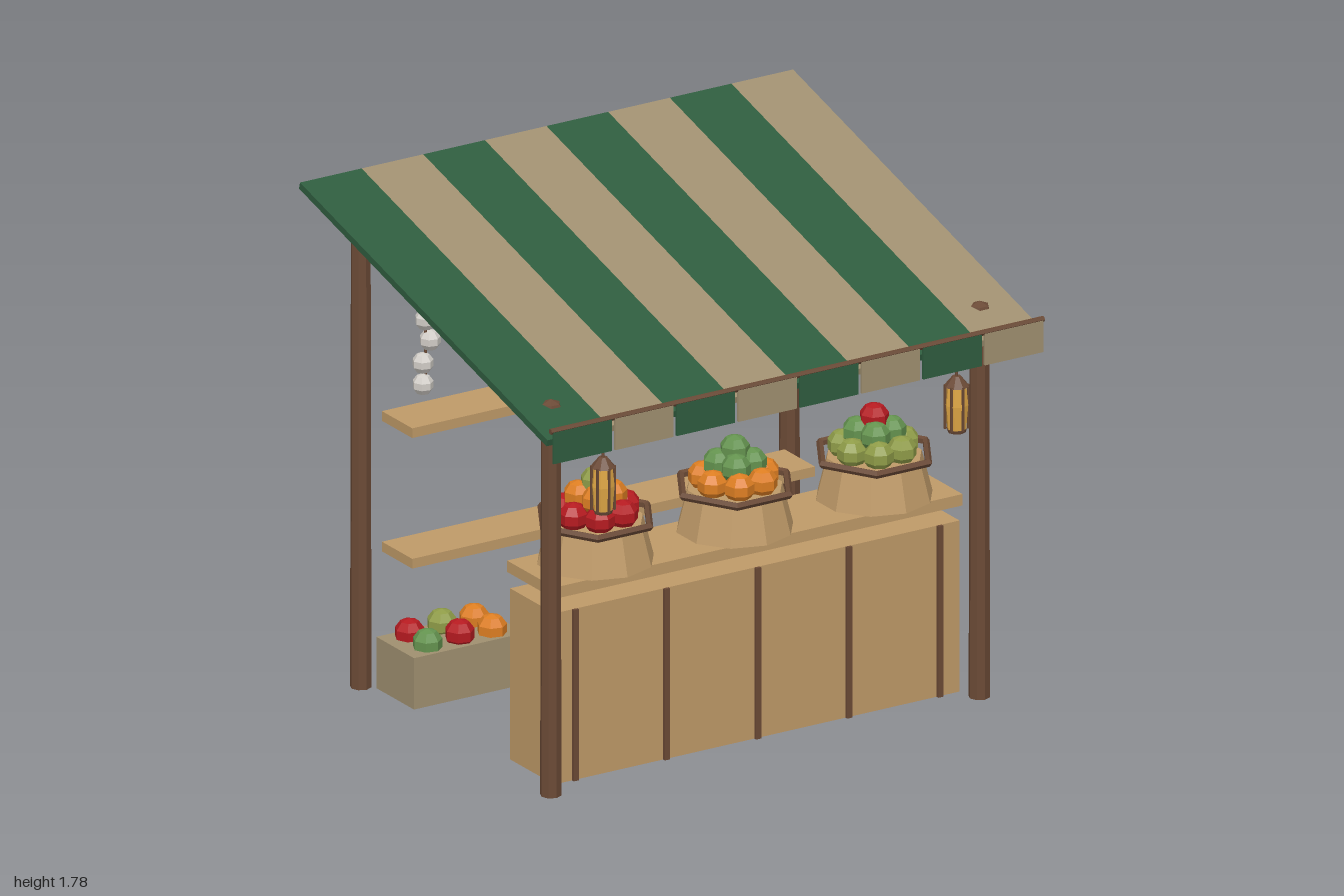
import * as THREE from 'three';

const mat = (name, color, side = THREE.FrontSide) => {
  const m = new THREE.MeshStandardMaterial({ color, flatShading: true, side });
  m.name = name;
  return m;
};

export function createModel() {
  const green = mat('canvas green', 0x2f5d3f), beige = mat('canvas beige', 0xa09070);
  const wood = mat('light wood', 0xbf9a68), brown = mat('dark wood', 0x6b4a36);
  const red = mat('apple red', 0xb51a20), orange = mat('fruit orange', 0xdd7e22);
  const leaf = mat('leaf green', 0x64934f), olive = mat('pear green', 0x8f9c48);
  const white = mat('garlic white', 0xd2cec8), amber = mat('lantern amber', 0xdda544);

  const model = new THREE.Group();
  model.name = 'marketStall';
  const cx = -0.045; // centre line of the stall

  const add = (name, geo, material, x, y, z, parent = model) => {
    const m = new THREE.Mesh(geo, material);
    m.name = name;
    m.position.set(x, y, z);
    parent.add(m);
    return m;
  };
  const box = (name, w, h, d, m, x, y, z, parent) =>
    add(name, new THREE.BoxGeometry(w, h, d), m, x, y, z, parent);
  const cyl = (name, rt, rb, h, n, m, x, y, z, parent) =>
    add(name, new THREE.CylinderGeometry(rt, rb, h, n), m, x, y, z, parent);
  const group = (name, x, y, z) => {
    const g = new THREE.Group();
    g.name = name;
    g.position.set(x, y, z);
    model.add(g);
    return g;
  };

  // Posts, with knobs that poke through the front of the roof
  for (const s of [-1, 1]) {
    const x = cx + s * 0.83;
    cyl('frontPost', 0.033, 0.036, 1.36, 8, brown, x, 0.72, 0.57);
    add('postKnob', new THREE.SphereGeometry(0.046, 6, 4), brown, x, 1.382, 0.57);
    cyl('backPost', 0.033, 0.036, 1.66, 8, brown, x, 0.87, -0.59);
  }

  // Striped sloping roof
  const roof = group('roof', cx, 1.56, -0.012);
  roof.rotation.x = Math.atan2(0.41, 1.51);
  const stripe = 1.91 / 8;
  for (let i = 0; i < 8; i++) {
    const x = (i - 3.5) * stripe, m = i % 2 ? beige : green;
    box('roofStripe', stripe, 0.024, 1.565, m, x, 0, 0, roof);
    box('valanceFlap', 0.226, 0.11, 0.008, m, cx + x, 1.345, 0.77);
  }
  const rod = cyl('valanceRod', 0.01, 0.01, 1.91, 6, brown, cx, 1.402, 0.764);
  rod.rotation.z = Math.PI / 2;

  // Counter, its slats and the top board
  box('counter', 1.57, 0.6, 0.27, wood, cx, 0.35, 0.385);
  box('counterTop', 1.58, 0.04, 0.29, wood, cx, 0.725, 0.385);
  for (let i = -2; i <= 2; i++)
    box('counterSlat', 0.02, 0.6, 0.012, brown, cx + i * 0.353, 0.35, 0.525);

  // Back shelves
  for (const y of [0.537, 0.995]) box('shelf', 1.56, 0.034, 0.185, wood, cx, y, -0.447);

  // Baskets with heaped fruit
  const fruitGeo = new THREE.SphereGeometry(0.052, 7, 5);
  const heap = (parent, m, count, radius, y, turn) => {
    for (let i = 0; i < count; i++) {
      const a = turn + (i / count) * Math.PI * 2;
      const f = add('fruit', fruitGeo, m, Math.cos(a) * radius, y, Math.sin(a) * radius, parent);
      f.rotation.y = a * 1.7;
    }
  };
  const piles = [[red, orange, olive], [orange, leaf, leaf], [olive, leaf, red]];
  piles.forEach(([low, mid, top], i) => {
    const b = group('fruitBasket', cx + (i - 1) * 0.54, 0.745, 0.385);
    cyl('basketBody', 0.16, 0.197, 0.145, 10, wood, 0, 0.073, 0, b);
    const rim = add('basketRim', new THREE.TorusGeometry(0.2, 0.014, 5, 6), brown, 0, 0.15, 0, b);
    rim.rotation.x = Math.PI / 2;
    heap(b, low, 7, 0.105, 0.178, 0.2);
    heap(b, mid, 4, 0.056, 0.228, 0.5);
    heap(b, top, 1, 0, 0.274, 0);
  });

  // Strings of garlic and onions
  const bead = new THREE.SphereGeometry(0.037, 7, 5);
  for (let i = 0; i < 5; i++) {
    const s = group('hangingString', cx + (i - 2) * 0.31, 0, -0.525);
    cyl('cord', 0.005, 0.005, 0.3, 5, brown, 0, 1.24, 0, s);
    for (let k = 0; k < 4; k++)
      add('bulb', bead, i % 2 ? brown : white, 0.018 * Math.cos(k * 1.9 - 1.6), 1.305 - k * 0.075, 0, s);
  }

  // Lanterns under the eave
  for (const s of [-1, 1]) {
    const l = group('lantern', cx + s * 0.685, 1.125, 0.66);
    const profile = [[0, -0.085], [0.032, -0.085], [0.039, 0], [0.032, 0.07], [0, 0.07]];
    add('lanternGlass', new THREE.LatheGeometry(profile.map(p => new THREE.Vector2(...p)), 8), amber, 0, 0, 0, l);
    cyl('lanternCap', 0.014, 0.042, 0.035, 8, brown, 0, 0.082, 0, l);
    cyl('lanternBase', 0.034, 0.03, 0.012, 8, brown, 0, -0.09, 0, l);
    cyl('lanternHook', 0.005, 0.005, 0.12, 5, brown, 0, 0.15, 0, l);
    for (let k = 0; k < 6; k++) {
      const a = (k + 0.5) * Math.PI / 3;
      box('lanternBar', 0.007, 0.155, 0.007, brown, Math.cos(a) * 0.038, -0.008, Math.sin(a) * 0.038, l);
    }
  }

  // Crate of mixed fruit behind the counter
  const crate = group('fruitCrate', -0.625, 0.04, -0.435);
  box('crateBody', 0.43, 0.18, 0.23, beige, 0, 0.09, 0, crate);
  [[red, olive, orange], [leaf, red, orange]].forEach((row, r) => row.forEach((m, c) =>
    add('fruit', fruitGeo, m, (c - 1) * 0.125, 0.195 + 0.008 * (c % 2), (r ? 1 : -1) * 0.055, crate)));

  // Boulders standing on one point
  const boulder = (m, r, x, z) => {
    const geo = new THREE.IcosahedronGeometry(r, 0);
    geo.rotateZ(-Math.atan(2 / (1 + Math.sqrt(5))));
    add('boulder', geo, m, x, r, z);
  };
  boulder(brown, 0.172, 0.765, -0.28);
  boulder(beige, 0.207, 0.53, -0.405);

  // Mushrooms beside the back post
  for (const [x, z, top, r] of [[0.95, -0.53, 0.19, 0.05], [0.925, -0.478, 0.138, 0.041], [0.91, -0.57, 0.165, 0.036]]) {
    const h = top - 0.065;
    cyl('mushroomStem', 0.011, 0.015, h, 6, white, x, 0.04 + h / 2, z);
    cyl('mushroomCap', r * 0.45, r, 0.034, 7, brown, x, top - 0.017, z);
  }

  return model;
}
